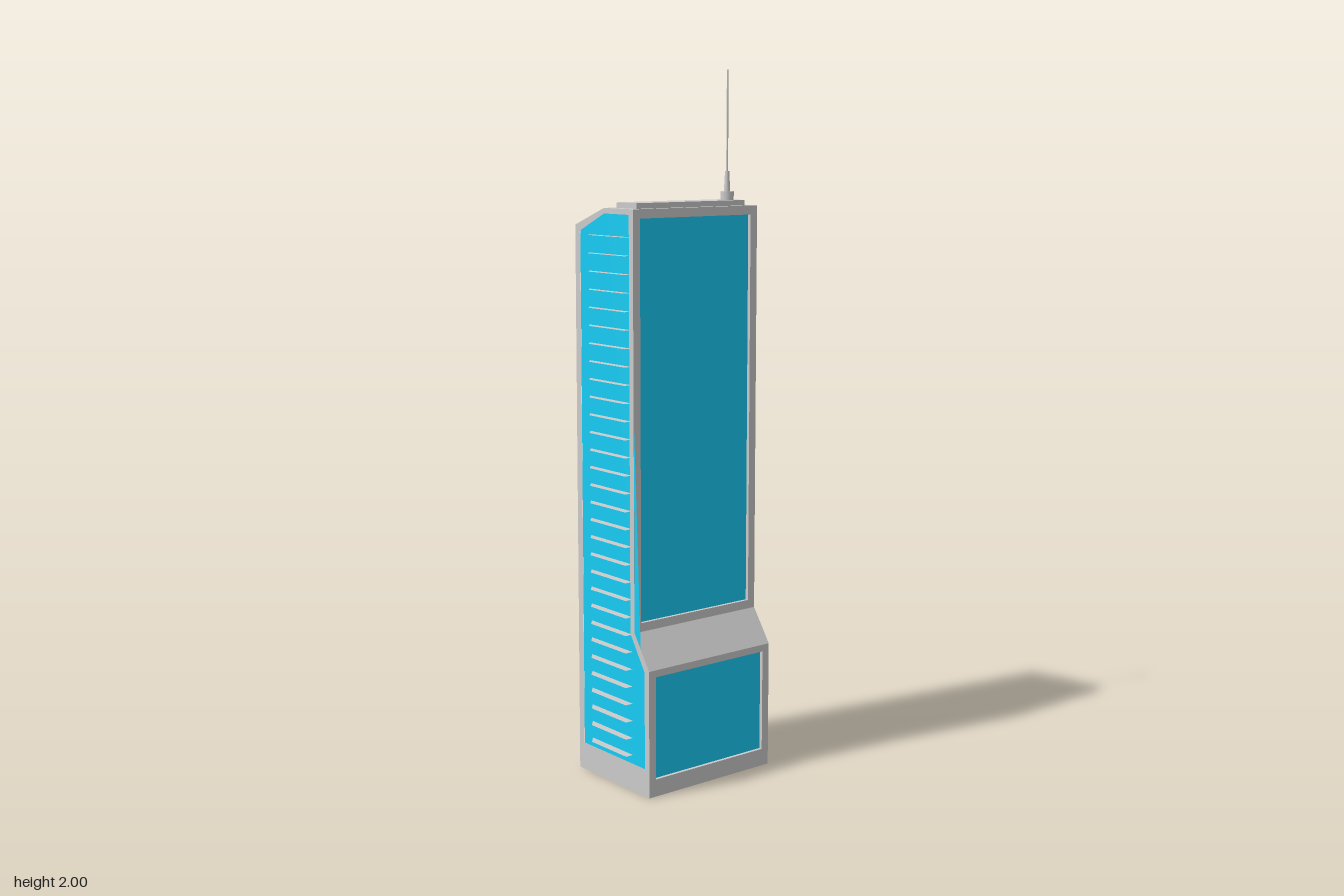
import * as THREE from 'three';

const grey = new THREE.MeshStandardMaterial({ color: 0xcccccc, flatShading: true });
const greyThin = new THREE.MeshStandardMaterial({ color: 0xcccccc, side: THREE.DoubleSide });
const glass = new THREE.MeshStandardMaterial({ color: 0x19ccf5, flatShading: true });
const glassThin = new THREE.MeshStandardMaterial({ color: 0x19ccf5, side: THREE.DoubleSide });

const LEFT = 0.215, RIGHT = -0.227, FRAME = 0.024, RECESS = 0.01;

// Path drawn from [z, y] points, seen from the side
const trace = (path, pts) => path.setFromPoints(pts.map(([z, y]) => new THREE.Vector2(-z, y)));

// Extrude a side profile along x from x0 to x1
function prism(pts, x0, x1, hole) {
  const shape = trace(new THREE.Shape(), pts);
  if (hole) shape.holes.push(trace(new THREE.Path(), hole));
  const geo = new THREE.ExtrudeGeometry(shape, { depth: x1 - x0, bevelEnabled: false });
  return geo.rotateY(Math.PI / 2).translate(x0, 0, 0);
}

export function createModel() {
  const model = new THREE.Group();
  model.name = 'skyscraper';
  const add = (name, geo, mat = grey, parent = model) => {
    const mesh = new THREE.Mesh(geo, mat);
    mesh.name = name;
    parent.add(mesh);
    return mesh;
  };

  // Glass body, set back slightly behind the frame
  add('glassBody', prism([
    [0.153, 0.05], [0.153, 0.36], [0.088, 0.455], [0.088, 1.615],
    [-0.03, 1.615], [-0.153, 1.568], [-0.153, 0.05],
  ], RIGHT + RECESS, LEFT - RECESS), glass);

  // Side frames
  const outline = [
    [0.163, 0], [0.163, 0.365], [0.098, 0.46], [0.098, 1.625],
    [-0.03, 1.625], [-0.163, 1.575], [-0.163, 0],
  ];
  const opening = [
    [0.143, 0.08], [0.143, 0.358], [0.08, 0.455], [0.08, 1.61],
    [-0.03, 1.61], [-0.14, 1.56], [-0.14, 0.08],
  ];
  add('leftFrame', prism(outline, LEFT - FRAME, LEFT, opening));
  add('rightFrame', prism(outline, RIGHT, RIGHT + FRAME, opening));

  // Bands running across between the side frames
  const bands = {
    frontSill: [[0.143, 0], [0.163, 0], [0.163, 0.05], [0.143, 0.05]],
    backSill: [[-0.163, 0], [-0.14, 0], [-0.14, 0.05], [-0.163, 0.05]],
    floor: [[-0.15, 0], [0.03, 0], [0.03, 0.05], [-0.15, 0.05]],
    slopedSetback: [
      [0.163, 0.345], [0.163, 0.365], [0.098, 0.46], [0.098, 0.485],
      [0.08, 0.485], [0.08, 0.45], [0.14, 0.36], [0.14, 0.345],
    ],
    roof: [
      [0.098, 1.6], [0.098, 1.625], [-0.03, 1.625],
      [-0.163, 1.575], [-0.163, 1.55], [-0.03, 1.6],
    ],
  };
  for (const [name, pts] of Object.entries(bands)) {
    add(name, prism(pts, RIGHT + FRAME, LEFT - FRAME));
  }

  // Thin balcony slabs on every floor: pointed on the left, long on the right
  const slab = (pts) => new THREE.ShapeGeometry(
    new THREE.Shape(pts.map(([x, z]) => new THREE.Vector2(x, -z)))).rotateX(-Math.PI / 2);
  const leftSlab = slab([[0.203, 0.044], [0.24, -0.015], [0.203, -0.074]]);
  const rightSlab = slab([[-0.215, 0.076], [-0.241, 0.076], [-0.241, -0.085], [-0.215, -0.115]]);
  const leftBalconies = new THREE.Group();
  leftBalconies.name = 'leftBalconies';
  const rightBalconies = new THREE.Group();
  rightBalconies.name = 'rightBalconies';
  model.add(leftBalconies, rightBalconies);
  const floors = 30;
  for (let i = 0; i < floors; i++) {
    const y = 0.1 + i * 0.05;
    add('leftBalcony', leftSlab, greyThin, leftBalconies).position.y = y;
    add('rightBalcony', rightSlab, greyThin, rightBalconies).position.y = y;
  }

  // Tapering glass blade on the front right edge
  const blade = new THREE.ShapeGeometry(
    trace(new THREE.Shape(), [[0.098, 0.46], [0.125, 0.42], [0.098, 1.05]]));
  add('glassBlade', blade.rotateY(Math.PI / 2).translate(RIGHT + 0.001, 0, 0), glassThin);

  // Roof plate
  add('roofPlate', new THREE.BoxGeometry(0.385, 0.016, 0.087)).position.set(-0.006, 1.632, 0.033);

  // Stepped mast
  const mast = new THREE.Group();
  mast.name = 'mast';
  mast.position.set(0.155, 0, 0.038);
  model.add(mast);
  const steps = [['mastBase', 0.019, 0.019, 1.638, 1.664],
    ['mastSocket', 0.006, 0.009, 1.664, 1.72],
    ['mastRod', 0.002, 0.003, 1.72, 2]];
  for (const [name, top, bottom, y0, y1] of steps) {
    const part = add(name, new THREE.CylinderGeometry(top, bottom, y1 - y0, 20), greyThin, mast);
    part.position.y = (y0 + y1) / 2;
  }
  return model;
}
